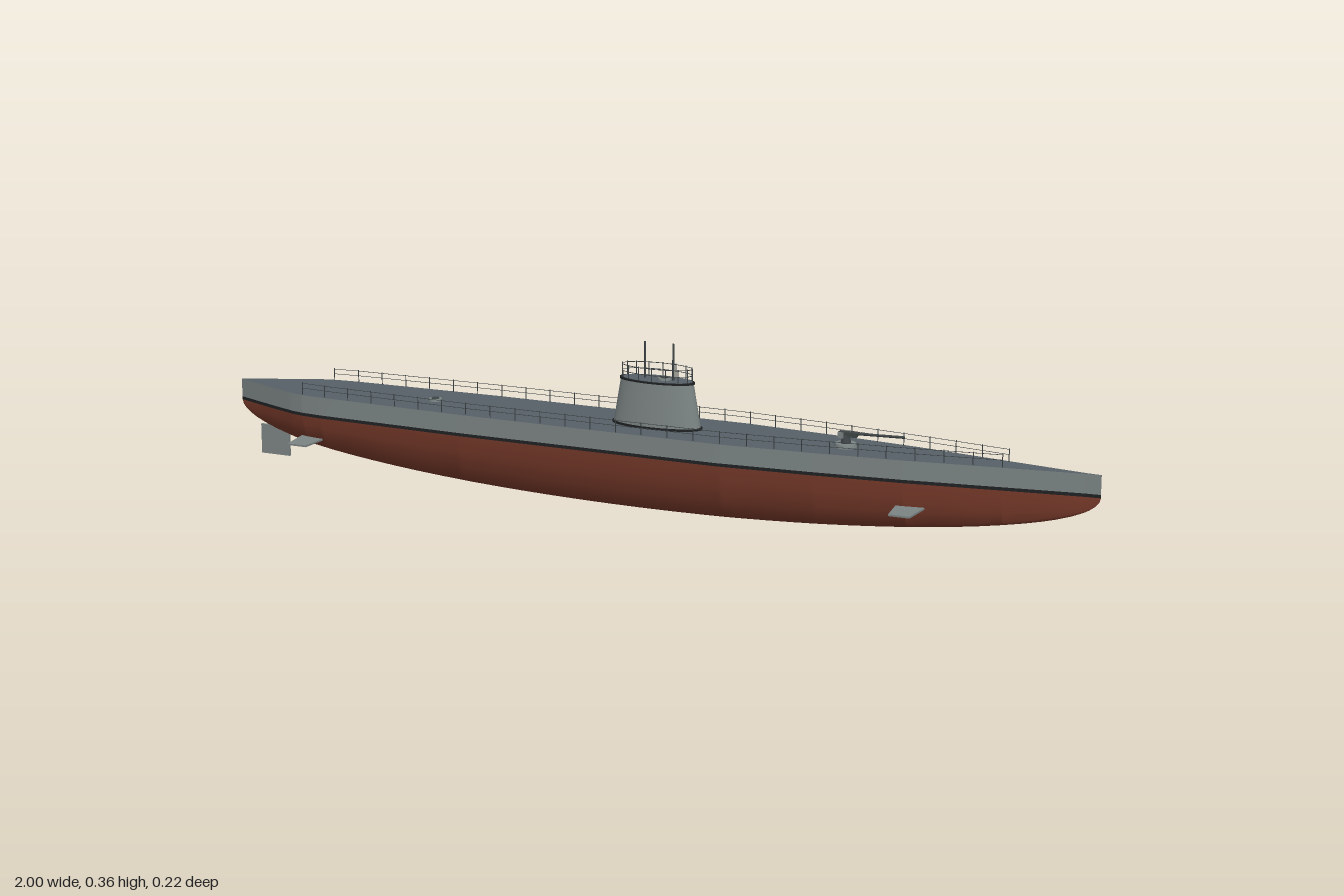
import * as THREE from 'three';

const mat = (name, color, side = THREE.FrontSide) => {
  const m = new THREE.MeshStandardMaterial({ color, side });
  m.name = name;
  return m;
};

// Half-breadth of the deck at [x, halfWidth]
const PLAN = [[-1, 0.001], [-0.9, 0.042], [-0.83, 0.069], [-0.8, 0.076], [-0.75, 0.081], [-0.4, 0.092],
  [0.2, 0.092], [0.4, 0.077], [0.6, 0.056], [0.8, 0.027], [0.97, 0.003], [1, 0.001]];

function halfWidth(x) {
  for (let i = 1; i < PLAN.length; i++) {
    const [x0, w0] = PLAN[i - 1], [x1, w1] = PLAN[i];
    if (x <= x1) return w0 + (w1 - w0) * (x - x0) / (x1 - x0);
  }
  return 0.001;
}

// Skin a row of cross-sections running from stern to bow; section(x) gives [y, z] points
function loft(xs, section) {
  const pos = [], index = [], n = section(0).length;
  xs.forEach((x, i) => {
    section(x).forEach(([y, z], j) => {
      pos.push(x, y, z);
      if (i === 0 || j === 0) return;
      const d = i * n + j, b = d - 1, c = d - n, a = c - 1;
      index.push(a, c, b, b, c, d);
    });
  });
  const g = new THREE.BufferGeometry();
  g.setAttribute('position', new THREE.Float32BufferAttribute(pos, 3));
  g.setIndex(index);
  g.computeVertexNormals();
  return g;
}

export function createModel() {
  const red = mat('hull red', 0x7a3b2b);
  const grey = mat('topside grey', 0x7c8484);
  const deckGrey = mat('deck grey', 0x566167);
  const black = mat('boot stripe black', 0x1f2123);
  const metal = mat('dark metal', 0x3f4547);

  const model = new THREE.Group();
  const boat = new THREE.Group();
  boat.name = 'submarine';
  boat.position.z = -0.019;
  model.add(boat);

  const add = (name, geo, material, x = 0, y = 0, z = 0, parent = boat) => {
    const m = new THREE.Mesh(geo, material);
    m.name = name;
    m.position.set(x, y, z);
    parent.add(m);
    return m;
  };
  // Round bar between two points
  const bar = (name, a, b, r, material, parent = boat, sides = 6) => {
    const p = new THREE.Vector3(...a), q = new THREE.Vector3(...b), d = q.clone().sub(p);
    const m = add(name, new THREE.CylinderGeometry(r, r, d.length(), sides), material, 0, 0, 0, parent);
    m.position.copy(p).lerp(q, 0.5);
    m.quaternion.setFromUnitVectors(new THREE.Vector3(0, 1, 0), d.normalize());
    return m;
  };

  // Hull: stations bunch up towards the ends
  const DECK = 0.184, STRIPE_TOP = 0.143, WATER = 0.136;
  const xs = PLAN.map(p => p[0]);
  for (let i = 1; i < 44; i++) xs.push(-Math.cos(i / 44 * Math.PI));
  xs.sort((a, b) => a - b);

  const HALF = [[0, 1], [0.28, 0.945], [0.6, 0.81], [0.87, 0.57], [0.975, 0.3], [1, 0]];
  const RING = [...HALF, ...HALF.slice(0, -1).reverse().map(([d, w]) => [d, -w])];
  add('lowerHull', loft(xs, x => {
    const depth = 0.134 * Math.sqrt(Math.max(0, 1 - x * x)), w = halfWidth(x);
    return RING.map(([d, k]) => [WATER - d * depth, k * w]);
  }), red);
  const belt = (name, top, bottom, material) => {
    add(name + 'Left', loft(xs, x => [[top, halfWidth(x)], [bottom, halfWidth(x)]]), material);
    add(name + 'Right', loft(xs, x => [[bottom, -halfWidth(x)], [top, -halfWidth(x)]]), material);
  };
  belt('waterlineStripe', STRIPE_TOP, WATER, black);
  belt('topside', DECK, STRIPE_TOP, grey);
  add('deck', loft(xs, x => [[DECK, -halfWidth(x)], [DECK, halfWidth(x)]]), deckGrey);

  // Deck railings
  const railings = new THREE.Group();
  railings.name = 'deckRailings';
  boat.add(railings);
  for (const s of [-1, 1]) {
    const edge = (x, y) => [x, y, s * (halfWidth(x) - 0.004)];
    for (let i = 0; i < 28; i++) {
      const x = -0.8 + i * 1.6 / 27, next = x + 1.6 / 27;
      bar('stanchion', edge(x, DECK), edge(x, 0.212), 0.0011, metal, railings, 5);
      if (i < 27) for (const y of [0.199, 0.21]) bar('rail', edge(x, y), edge(next, y), 0.0006, metal, railings, 4);
    }
  }

  // Conning tower
  const tower = new THREE.Group();
  tower.name = 'conningTower';
  tower.position.x = 0.028;
  boat.add(tower);
  const oval = (name, rTop, rBottom, y0, y1, material) => {
    const m = add(name, new THREE.CylinderGeometry(rTop, rBottom, y1 - y0, 40), material, 0, (y0 + y1) / 2, 0, tower);
    m.scale.z = 0.385;
  };
  oval('towerBase', 0.103, 0.103, DECK, 0.189, black);
  oval('towerBody', 0.083, 0.1, 0.187, 0.284, grey);
  oval('towerRim', 0.086, 0.086, 0.282, 0.286, black);
  oval('towerFloor', 0.08, 0.08, 0.284, 0.2868, deckGrey);
  const around = (i, y) => {
    const a = i / 16 * Math.PI * 2;
    return [0.081 * Math.cos(a), y, 0.031 * Math.sin(a)];
  };
  for (let i = 0; i < 16; i++) {
    bar('towerStanchion', around(i, 0.285), around(i, 0.316), 0.0011, metal, tower, 5);
    for (const y of [0.3, 0.314]) bar('towerRail', around(i, y), around(i + 1, y), 0.0008, metal, tower, 4);
  }
  for (const x of [0, 0.065]) bar('periscope', [x, 0.28, 0], [x, 0.366, 0], 0.0022, metal, boat, 10);

  // Hatches
  for (const [x, y] of [[0.045, 0.286], [-0.505, DECK]]) {
    add('hatchCoaming', new THREE.CylinderGeometry(0.014, 0.015, 0.005, 20), grey, x, y + 0.0025, 0);
    add('hatchLid', new THREE.CylinderGeometry(0.008, 0.009, 0.003, 20), metal, x, y + 0.0055, 0);
  }

  // Deck gun
  const gun = new THREE.Group();
  gun.name = 'deckGun';
  gun.position.set(0.455, DECK, 0);
  boat.add(gun);
  add('gunPlatform', new THREE.CylinderGeometry(0.022, 0.024, 0.008, 20), grey, 0, 0.004, 0, gun);
  add('gunPedestal', new THREE.CylinderGeometry(0.007, 0.012, 0.02, 12), metal, 0, 0.016, 0, gun);
  add('gunBreech', new THREE.BoxGeometry(0.04, 0.01, 0.012), metal, 0.005, 0.027, 0, gun);
  bar('gunBarrel', [0, 0.029, 0], [0.128, 0.033, 0], 0.0028, metal, gun, 10);
  for (const s of [-1, 1]) add('gunSight', new THREE.BoxGeometry(0.012, 0.012, 0.004), grey, -0.008, 0.026, s * 0.011, gun);

  // Diving planes on the left side
  const plane = (name, x, zIn, zOut) => {
    const shape = new THREE.Shape([[-0.031, zIn], [0.031, zIn], [0.023, zOut], [-0.023, zOut]]
      .map(p => new THREE.Vector2(...p)));
    const g = new THREE.ExtrudeGeometry(shape, { depth: 0.004, bevelEnabled: false });
    add(name, g.rotateX(Math.PI / 2), grey, x, 0.085, 0);
  };
  plane('sternPlane', -0.785, 0.04, 0.13);
  plane('bowPlane', 0.613, 0.038, 0.116);

  // Rudder with its stock
  add('rudder', new THREE.BoxGeometry(0.072, 0.068, 0.006), grey, -0.916, 0.05, 0);
  bar('rudderStock', [-0.905, 0.08, 0], [-0.905, 0.13, 0], 0.004, metal, boat, 10);

  // Propeller, shaft and strut on the right side
  const px = -0.87, py = 0.052, pz = -0.045;
  bar('propellerShaft', [px - 0.006, py, pz], [-0.7, 0.064, -0.036], 0.003, metal, boat, 10);
  bar('shaftStrut', [-0.84, py + 0.002, pz], [-0.82, 0.105, -0.03], 0.003, metal);
  const propeller = new THREE.Group();
  propeller.name = 'propeller';
  propeller.position.set(px, py, pz);
  boat.add(propeller);
  const hub = add('propellerHub', new THREE.SphereGeometry(0.006, 12, 8), metal, 0, 0, 0, propeller);
  hub.scale.x = 1.5;
  for (let i = 0; i < 3; i++) {
    const spoke = new THREE.Group();
    spoke.rotation.x = i * Math.PI * 2 / 3 - 0.6;
    propeller.add(spoke);
    const blade = add('propellerBlade', new THREE.SphereGeometry(1, 12, 8), metal, 0, 0.014, 0, spoke);
    blade.scale.set(0.0018, 0.014, 0.007);
    blade.rotation.y = 0.6;
  }
  return model;
}
